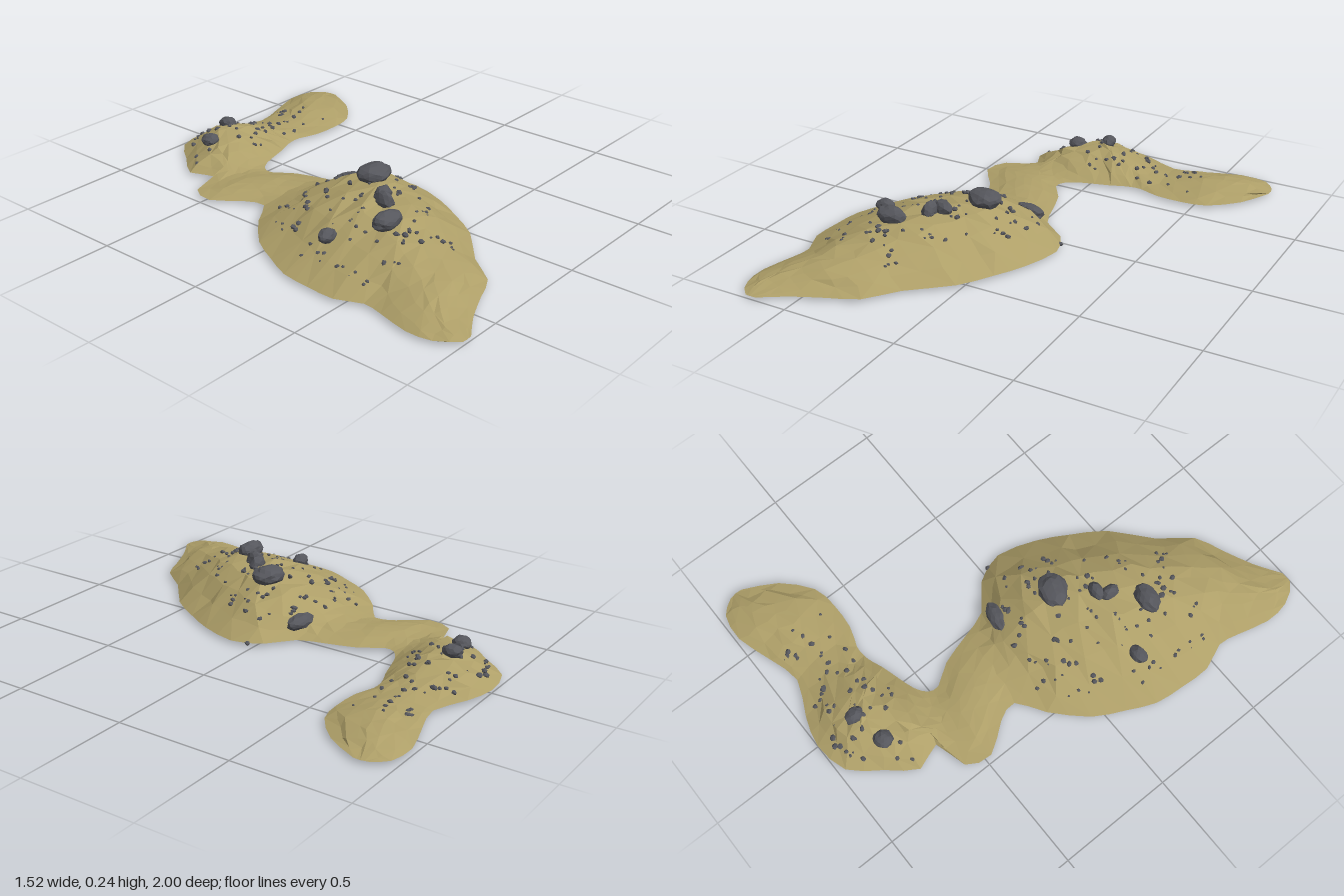
import * as THREE from 'three';
import { mergeGeometries, mergeVertices } from 'three/addons/utils/BufferGeometryUtils.js';

const BASE = 0.013;
const sandMat = new THREE.MeshStandardMaterial({ color: 0xae9f68, flatShading: true, side: THREE.DoubleSide });
const rockMat = new THREE.MeshStandardMaterial({ color: 0x55565c, flatShading: true });

// Small seeded random generator
let seed = 7;
function rand() {
  seed = (seed * 16807) % 2147483647;
  return seed / 2147483647;
}
const range = (a, b) => a + (b - a) * rand();

// Shorelines as [x, z] and crest as [x, z, height], from the front tip to the far end
const leftShore = [
  [-0.69, 0.995], [-0.75, 0.91], [-0.76, 0.8], [-0.725, 0.66], [-0.71, 0.57], [-0.755, 0.46], [-0.75, 0.33],
  [-0.735, 0.2], [-0.68, 0.08], [-0.61, -0.05], [-0.48, -0.18], [-0.365, -0.26], [-0.39, -0.35], [-0.475, -0.47],
  [-0.44, -0.58], [-0.3, -0.62], [-0.34, -0.73], [-0.25, -0.85], [-0.15, -0.97], [0, -1], [0.13, -0.965],
  [0.28, -0.9], [0.42, -0.935], [0.58, -0.985], [0.7, -0.97], [0.75, -0.91],
];
const rightShore = [
  [-0.64, 0.995], [-0.53, 0.925], [-0.4, 0.865], [-0.28, 0.81], [-0.18, 0.68], [-0.02, 0.54], [0.07, 0.4],
  [0.14, 0.27], [0.19, 0.1], [0.14, -0.03], [0.03, -0.12], [-0.01, -0.24], [-0.05, -0.37], [-0.11, -0.46],
  [-0.1, -0.51], [-0.05, -0.545], [0.03, -0.57], [0.1, -0.59], [0.15, -0.61], [0.19, -0.62], [0.24, -0.62],
  [0.33, -0.59], [0.45, -0.585], [0.56, -0.605], [0.68, -0.71], [0.755, -0.85],
];
const crest = [
  [-0.67, 0.997, 0], [-0.66, 0.9, 0.025], [-0.58, 0.8, 0.055], [-0.47, 0.7, 0.085], [-0.4, 0.58, 0.12],
  [-0.32, 0.44, 0.15], [-0.25, 0.3, 0.165], [-0.2, 0.2, 0.17], [-0.15, 0.08, 0.16], [-0.14, -0.02, 0.125],
  [-0.15, -0.13, 0.065], [-0.18, -0.24, 0.028], [-0.22, -0.36, 0.033], [-0.27, -0.47, 0.027], [-0.25, -0.55, 0.015],
  [-0.2, -0.62, 0.045], [-0.14, -0.7, 0.085], [-0.06, -0.77, 0.108], [0, -0.79, 0.108], [0.07, -0.78, 0.085],
  [0.16, -0.77, 0.05], [0.29, -0.76, 0.025], [0.42, -0.77, 0.038], [0.55, -0.8, 0.047], [0.66, -0.85, 0.03],
  [0.757, -0.88, 0],
];
const LAST = crest.length - 1;
const toCurve = (pts) =>
  new THREE.CatmullRomCurve3(pts.map(([x, z, h = 0]) => new THREE.Vector3(x, BASE + h, z)), false, 'catmullrom', 0.45);
const [leftCurve, rightCurve, crestCurve] = [leftShore, rightShore, crest].map(toCurve);

// Point on the sand: u runs along the spit, v from -1 (left shore) to 1 (right shore)
function sandPoint(u, v) {
  const c = crestCurve.getPoint(u);
  const shore = (v < 0 ? leftCurve : rightCurve).getPoint(u);
  const t = 1 - Math.abs(v);
  const p = shore.clone().lerp(c, t);
  p.y = BASE + Math.max(0, c.y - BASE) * Math.pow(Math.sin((t * Math.PI) / 2), 1.15);
  return p;
}

function buildSand() {
  const rows = LAST * 2, cols = 8;
  const pos = [], index = [];
  for (let i = 0; i <= rows; i++) {
    for (let j = 0; j <= cols; j++) {
      const p = sandPoint(i / rows, (j / cols) * 2 - 1);
      // Uneven facets inside, clean line along the shore
      if (j > 0 && j < cols && i > 0 && i < rows) {
        p.x += range(-0.013, 0.013);
        p.z += range(-0.013, 0.013);
        p.y = BASE + (p.y - BASE) * range(0.92, 1.06);
      }
      pos.push(p.x, p.y, p.z);
      if (i < rows && j < cols) {
        const a = i * (cols + 1) + j, b = a + 1, c = a + cols + 1, d = c + 1;
        if ((i + j) % 2) index.push(a, b, c, b, d, c);
        else index.push(a, b, d, a, d, c);
      }
    }
  }
  const geo = new THREE.BufferGeometry();
  geo.setAttribute('position', new THREE.Float32BufferAttribute(pos, 3));
  geo.setIndex(index);
  geo.computeVertexNormals();
  return geo;
}

// Rough stone: an icosahedron with its corners pushed in and out
function stone(detail, rough) {
  let geo = new THREE.IcosahedronGeometry(1, detail);
  geo.deleteAttribute('normal');
  geo.deleteAttribute('uv');
  geo = mergeVertices(geo, 1e-3);
  const p = geo.attributes.position;
  for (let i = 0; i < p.count; i++) {
    const s = range(1 - rough, 1 + rough * 0.4);
    p.setXYZ(i, p.getX(i) * s, p.getY(i) * s, p.getZ(i) * s);
  }
  geo.computeVertexNormals();
  return geo;
}

export function createModel() {
  const model = new THREE.Group();
  const add = (name, geo, mat) => {
    const mesh = new THREE.Mesh(geo, mat);
    mesh.name = name;
    model.add(mesh);
    return mesh;
  };

  add('sandIsland', buildSand(), sandMat);

  // Boulders: centre, half sizes, turn about y
  const boulders = [
    [-0.395, 0.178, 0.42, 0.072, 0.038, 0.046, -0.1],
    [-0.13, 0.197, 0.135, 0.078, 0.041, 0.064, -0.35],
    [-0.045, 0.063, -0.09, 0.077, 0.035, 0.04, -0.1],
    [-0.545, 0.115, 0.25, 0.044, 0.032, 0.032, 0],
    [-0.165, 0.098, -0.78, 0.042, 0.028, 0.042, 0.3],
    [-0.02, 0.122, -0.815, 0.033, 0.029, 0.042, 0.2],
  ];
  for (const [x, y, z, sx, sy, sz, turn] of boulders) {
    const m = add('boulder', stone(2, 0.13), rockMat);
    m.position.set(x, y, z);
    m.scale.set(sx, sy, sz);
    m.rotation.y = turn;
  }

  // Bent boulder on the crest, an arc of two overlapping lumps
  const bent = new THREE.Group();
  bent.name = 'bentBoulder';
  for (const [x, z, sx, sz] of [[0.012, -0.025, 0.045, 0.03], [-0.025, 0.015, 0.03, 0.045]]) {
    const m = new THREE.Mesh(stone(1, 0.15), rockMat);
    m.name = 'bentBoulderLump';
    m.position.set(x, 0, z);
    m.scale.set(sx, 0.04, sz);
    bent.add(m);
  }
  bent.position.set(-0.255, 0.183, 0.3);
  model.add(bent);

  // Pebbles scattered over the two hills: count, start and end along the spit
  const pebbles = [];
  const addPebble = (p, r) => {
    const g = stone(0, 0.3);
    g.scale(r * range(0.8, 1.3), r * 0.85, r * range(0.8, 1.3));
    g.rotateY(range(0, 6));
    g.translate(p.x, p.y, p.z);
    pebbles.push(g);
  };
  for (const [count, from, to] of [[115, 3.9, 10], [50, 16, 20.5], [14, 20.5, 22.3]]) {
    for (let i = 0; i < count; i++) {
      addPebble(sandPoint(range(from, to) / LAST, range(-0.82, 0.68)), range(0.006, 0.014));
    }
  }
  addPebble(new THREE.Vector3(0.17, 0.011, 0.03), 0.013);
  addPebble(new THREE.Vector3(-0.02, 0.011, -0.62), 0.013);
  add('pebbles', mergeGeometries(pebbles), rockMat);

  return model;
}
